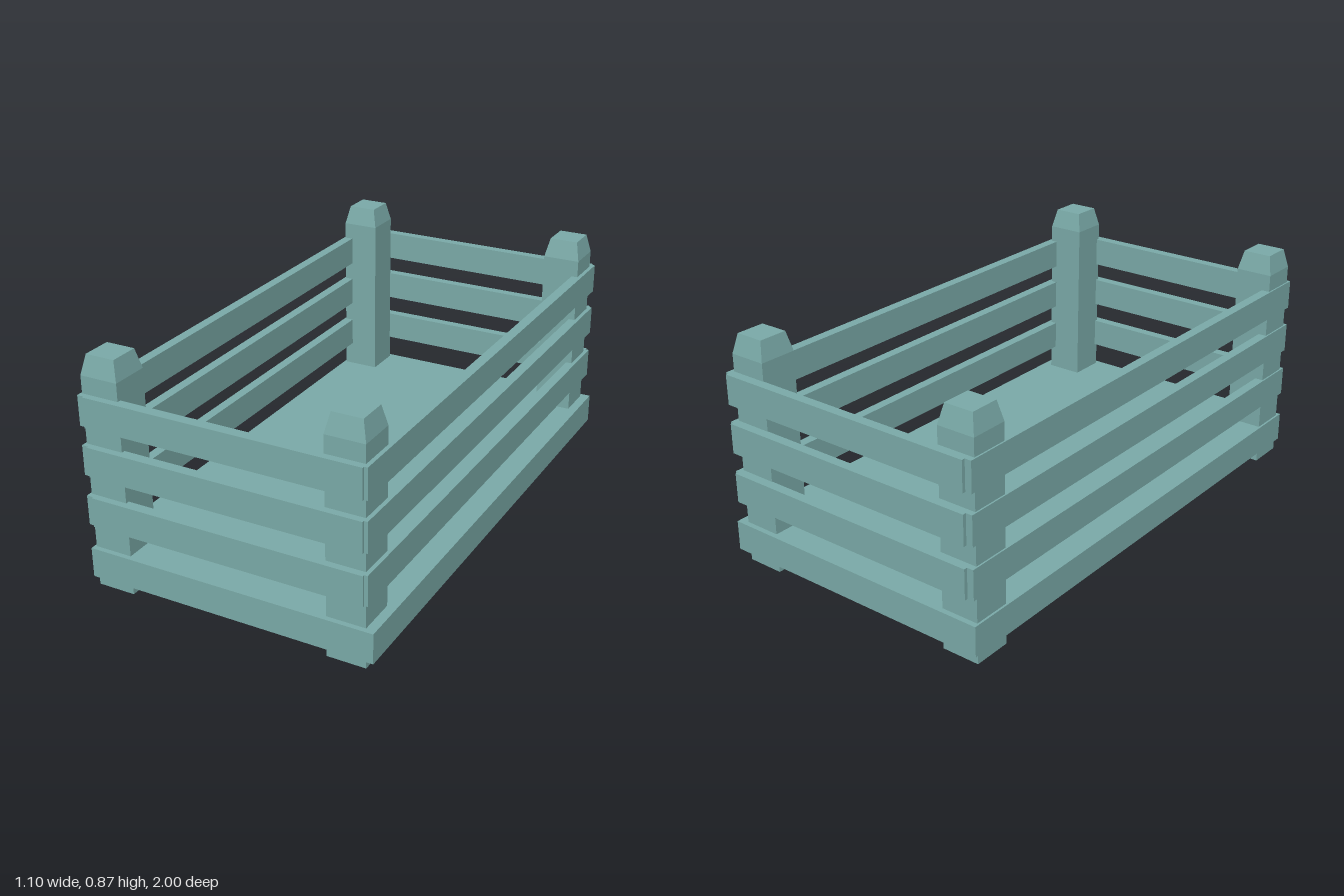
import * as THREE from 'three';

const wood = new THREE.MeshStandardMaterial({ color: 0x7aaaa8, flatShading: true });

// Box given by its extents on each axis
function plank(name, [x0, x1], [y0, y1], [z0, z1]) {
  const mesh = new THREE.Mesh(new THREE.BoxGeometry(x1 - x0, y1 - y0, z1 - z0), wood);
  mesh.position.set((x0 + x1) / 2, (y0 + y1) / 2, (z0 + z1) / 2);
  mesh.name = name;
  return mesh;
}

// Square post: straight up to the shoulder, then tapering to a flat top
function postGeometry(width, shoulder, height, taper) {
  const geo = new THREE.BoxGeometry(width, height, width, 1, 2, 1);
  geo.translate(0, height / 2, 0);
  const p = geo.attributes.position;
  for (let i = 0; i < p.count; i++) {
    const y = p.getY(i);
    if (y > height * 0.9) {
      p.setX(i, p.getX(i) * taper);
      p.setZ(i, p.getZ(i) * taper);
    } else if (y > height * 0.1) {
      p.setY(i, shoulder);
    }
  }
  geo.computeVertexNormals();
  return geo;
}

export function createModel() {
  const model = new THREE.Group();
  model.name = 'slattedCrate';

  // Solid floor
  model.add(plank('floor', [-0.549, 0.547], [0.04, 0.153], [-0.985, 0.993]));

  // Corner posts
  const postGeo = postGeometry(0.144, 0.8, 0.873, 0.77);
  for (const [side, x] of [['right', -0.469], ['left', 0.44]]) {
    for (const [end, z] of [['Back', -0.893], ['Front', 0.902]]) {
      const post = new THREE.Mesh(postGeo, wood);
      post.position.set(x, 0, z);
      post.name = `${side}${end}Post`;
      model.add(post);
    }
  }

  // Three rails on each of the four sides
  [0.248, 0.439, 0.623].forEach((y, i) => {
    const ys = [y, y + 0.112];
    const n = i + 1;
    model.add(
      plank(`frontRail${n}`, [-0.522, 0.514], ys, [0.96, 1]),
      plank(`backRail${n}`, [-0.522, 0.514], ys, [-1, -0.963]),
      plank(`rightRail${n}`, [-0.547, -0.509], ys, [-0.987, 0.992]),
      plank(`leftRail${n}`, [0.488, 0.527], ys, [-0.987, 0.992])
    );
  });

  return model;
}
